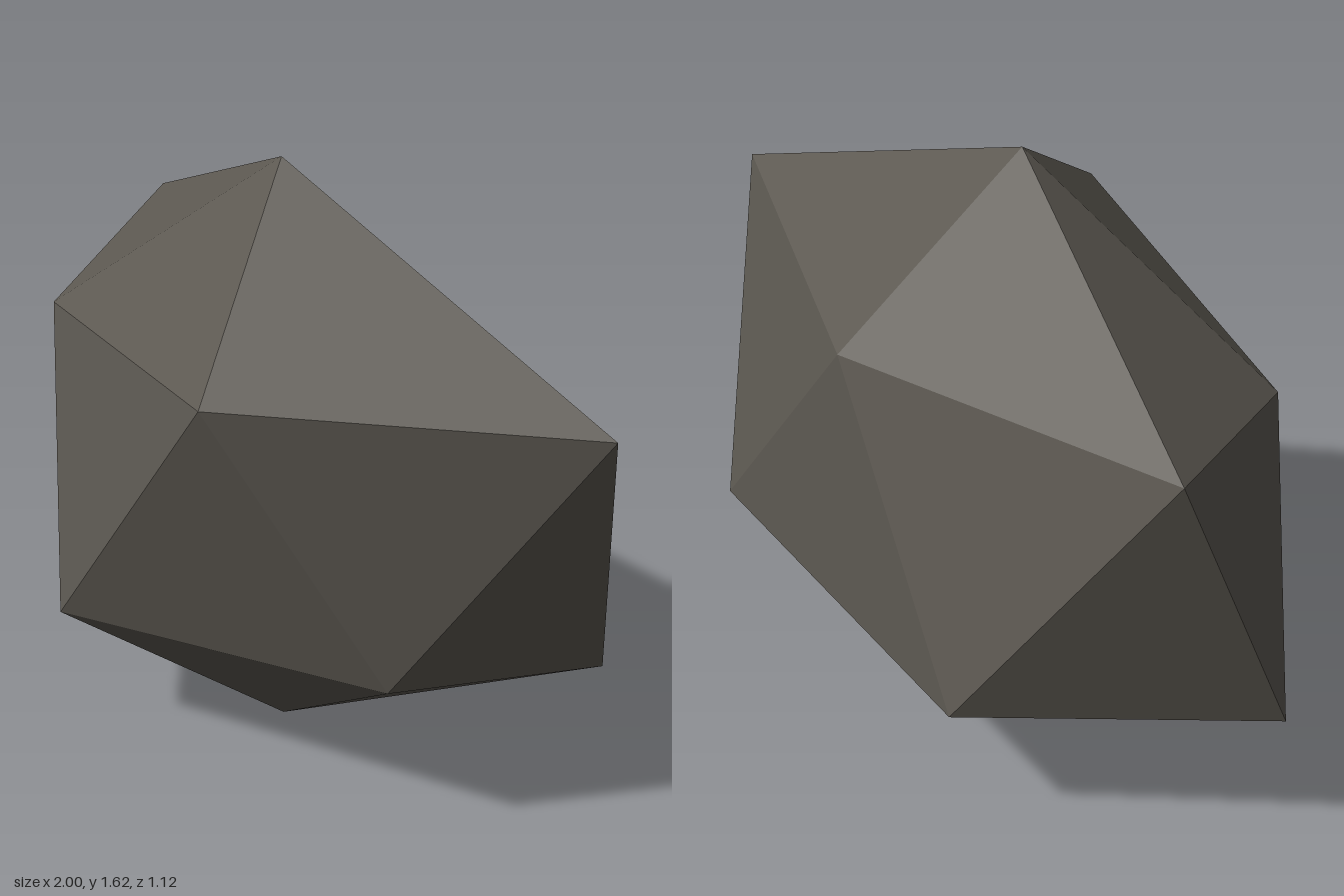
import * as THREE from 'three';

export function createModel() {
  const group = new THREE.Group();
  group.name = 'rock';
  const stone = new THREE.MeshStandardMaterial({ color: 0x5c5851, flatShading: true });
  stone.name = 'warm grey stone';

  // Poles and two staggered rings of corners, running counterclockwise from above
  const top = [-0.08, 1.625, -0.02];
  const bottom = [-0.08, 0, -0.02];
  const upper = [
    [0.26, 1.25, 0.56], [1.0, 1.24, -0.02], [0.15, 1.12, -0.42],
    [-0.945, 1.235, -0.365], [-0.7, 1.12, 0.23],
  ];
  const lower = [
    [-0.385, 0.41, 0.5], [0.565, 0.49, 0.24], [0.755, 0.395, -0.35],
    [-0.4, 0.395, -0.56], [-1.0, 0.44, -0.02],
  ];

  // Cap, zigzag belt and base
  const positions = [];
  const triangle = (a, b, c) => positions.push(...a, ...b, ...c);
  for (let i = 0; i < 5; i++) {
    const j = (i + 1) % 5;
    triangle(top, upper[i], upper[j]);
    triangle(lower[i], lower[j], upper[i]);
    triangle(upper[i], lower[j], upper[j]);
    triangle(bottom, lower[j], lower[i]);
  }
  const geometry = new THREE.BufferGeometry();
  geometry.setAttribute('position', new THREE.Float32BufferAttribute(positions, 3));
  geometry.computeVertexNormals();

  const boulder = new THREE.Mesh(geometry, stone);
  boulder.name = 'boulder';
  group.add(boulder);
  return group;
}
